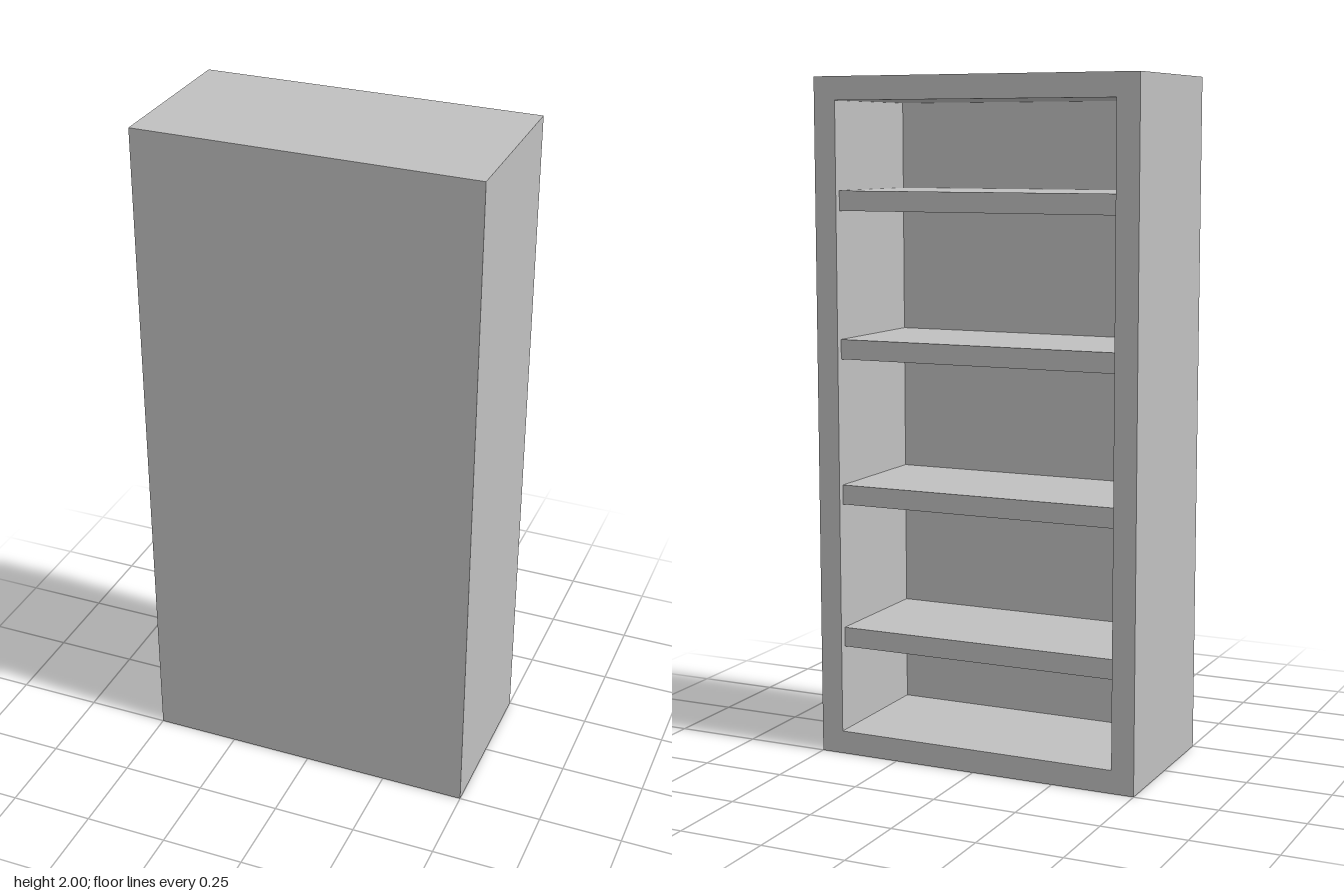
import * as THREE from 'three';

const W = 1, H = 2, D = 0.5;          // case size
const RIM = 0.068;                    // width of the frame around the opening
const INNER_Z = 0.165;                // inside face of the closed front panel
const SHELF_T = 0.058, SHELF_STEP = 0.431, SHELF_SETBACK = 0.02;

const paint = new THREE.MeshStandardMaterial({ color: 0xc0c0c0, side: THREE.DoubleSide });
paint.name = 'plain grey';

function add(group, name, geometry, x, y, z) {
  const mesh = new THREE.Mesh(geometry, paint);
  mesh.name = name;
  mesh.position.set(x, y, z);
  group.add(mesh);
  return mesh;
}

// Box without some sides (0 +x, 1 -x, 2 +y, 3 -y, 4 +z, 5 -z), optionally facing inward
function openBox(w, h, d, omit, inward = false) {
  const geo = new THREE.BoxGeometry(w, h, d);
  const src = geo.index.array, index = [];
  for (let side = 0; side < 6; side++) {
    if (omit.includes(side)) continue;
    for (let i = side * 6; i < side * 6 + 6; i += 3) {
      const [a, b, c] = src.slice(i, i + 3);
      index.push(a, inward ? c : b, inward ? b : c);
    }
  }
  geo.setIndex(index);
  geo.clearGroups();
  if (inward) {
    const n = geo.attributes.normal;
    for (let i = 0; i < n.count; i++) n.setXYZ(i, -n.getX(i), -n.getY(i), -n.getZ(i));
  }
  return geo;
}

function rectangle(target, w, h) {
  target.moveTo(-w / 2, -h / 2);
  target.lineTo(w / 2, -h / 2);
  target.lineTo(w / 2, h / 2);
  target.lineTo(-w / 2, h / 2);
  target.closePath();
  return target;
}

export function createModel() {
  const model = new THREE.Group();
  model.name = 'bookcase';
  const innerW = W - 2 * RIM, innerH = H - 2 * RIM;
  const innerD = INNER_Z + D / 2;

  // Outer shell: hollow underneath, open at the back
  add(model, 'outerCase', openBox(W, H, D, [3, 5]), 0, H / 2, 0);

  // Frame around the opening
  const frame = rectangle(new THREE.Shape(), W, H);
  frame.holes.push(rectangle(new THREE.Path(), innerW, innerH));
  add(model, 'openingFrame', new THREE.ShapeGeometry(frame), 0, H / 2, -D / 2).rotation.y = Math.PI;

  // Inner lining
  add(model, 'innerLining', openBox(innerW, innerH, innerD, [5], true),
    0, H / 2, INNER_Z - innerD / 2);

  // Four evenly spaced shelves, set back slightly from the opening
  const shelfD = innerD - SHELF_SETBACK;
  for (let i = 0; i < 4; i++) {
    add(model, `shelf${i + 1}`, new THREE.BoxGeometry(innerW, SHELF_T, shelfD),
      0, H / 2 + (i - 1.5) * SHELF_STEP, INNER_Z - shelfD / 2);
  }
  return model;
}
